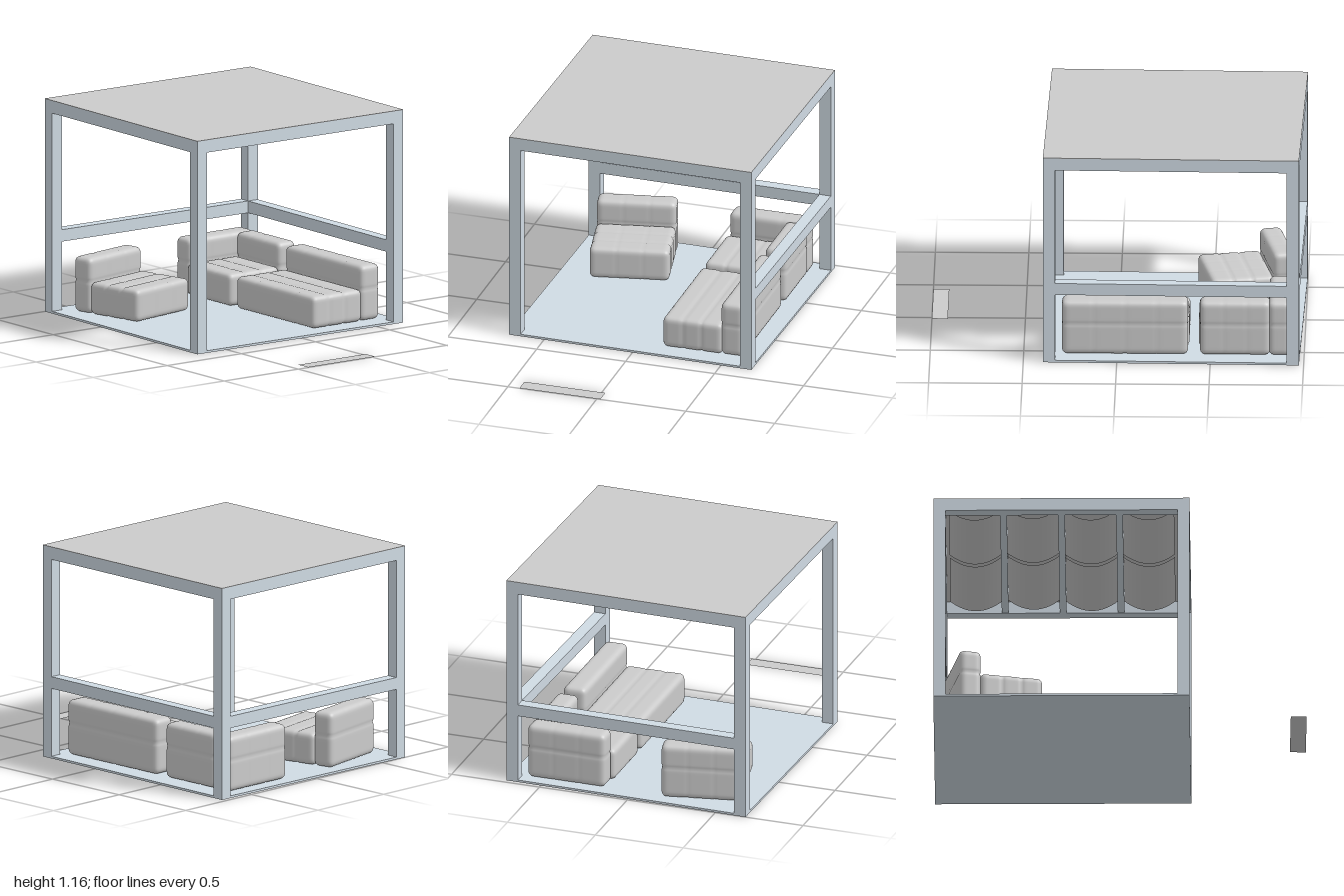
import * as THREE from 'three';
import { mergeVertices } from 'three/addons/utils/BufferGeometryUtils.js';

const grey = new THREE.MeshStandardMaterial({ color: 0xcccccc });
const thin = new THREE.MeshStandardMaterial({ color: 0xcccccc, side: THREE.DoubleSide });
const painted = new THREE.MeshStandardMaterial({ color: 0xd0dbe4 });

const SIZE = 1.37, POST = 0.065, TOP = 1.165;

// Box given by its min and max corners
function box(parent, name, [x0, y0, z0], [x1, y1, z1], material) {
  const mesh = new THREE.Mesh(new THREE.BoxGeometry(x1 - x0, y1 - y0, z1 - z0), material);
  mesh.position.set((x0 + x1) / 2, (y0 + y1) / 2, (z0 + z1) / 2);
  mesh.name = name;
  parent.add(mesh);
  return mesh;
}

// Soft rounded cushion; seams are grooves { axis, at, depth } around the body, at in -1..1
function cushion(parent, name, min, max, radius, seams) {
  const size = max.map((v, i) => v - min[i]);
  const half = size.map(v => v / 2);
  const segs = size.map(v => Math.min(44, Math.ceil(v / 0.012)));
  let geo = new THREE.BoxGeometry(...size, ...segs);
  geo.deleteAttribute('uv');
  geo.deleteAttribute('normal');
  geo = mergeVertices(geo, 1e-5);
  const pos = geo.attributes.position;
  const p = new THREE.Vector3(), inner = new THREE.Vector3(), dir = new THREE.Vector3();
  const limit = new THREE.Vector3(...half).subScalar(radius);
  const low = limit.clone().negate();
  for (let i = 0; i < pos.count; i++) {
    p.fromBufferAttribute(pos, i);
    inner.copy(p).clamp(low, limit);
    dir.copy(p).sub(inner).normalize();
    let inset = 0;
    for (const { axis, at, depth } of seams) {
      const d = (p.getComponent(axis) - at * half[axis]) / 0.008;
      inset += depth * Math.exp(-d * d) * (1 - Math.abs(dir.getComponent(axis)));
    }
    p.copy(inner).addScaledVector(dir, radius - Math.min(inset, 0.008));
    pos.setXYZ(i, p.x, p.y, p.z);
  }
  geo.computeVertexNormals();
  const mesh = new THREE.Mesh(geo, grey);
  mesh.position.set(...min.map((v, i) => v + half[i]));
  mesh.name = name;
  parent.add(mesh);
}

// Seat with two strong seams along the backrest and fainter cross seams
function seat(parent, min, max, axis, crossCount) {
  const seams = [-0.3, 0.32].map(at => ({ axis, at, depth: 0.005 }));
  for (let i = 1; i < crossCount; i++) {
    seams.push({ axis: 2 - axis, at: -1 + (2 * i) / crossCount, depth: 0.0015 });
  }
  cushion(parent, 'seatCushion', min, max, 0.028, seams);
}

// Upright cushion with one horizontal seam and faint vertical ones
function upright(parent, name, min, max, axis, count) {
  const seams = [{ axis: 1, at: 0.15, depth: 0.004 }];
  for (let i = 1; i < count; i++) {
    seams.push({ axis, at: -1 + (2 * i) / count, depth: 0.0015 });
  }
  cushion(parent, name, min, max, 0.03, seams);
}

function createPavilion() {
  const g = new THREE.Group();
  g.name = 'pavilion';
  const h = SIZE / 2, n = h - POST, under = TOP - 0.07;

  box(g, 'floor', [-h, 0, -h], [h, 0.012, h], painted);
  box(g, 'roofPanel', [-h, TOP - 0.003, -h], [h, TOP, h], grey);

  // Corner posts
  for (const x of [-1, 1]) for (const z of [-1, 1]) {
    const cx = x * (h - POST / 2), cz = z * (h - POST / 2), r = POST / 2;
    box(g, 'cornerPost', [cx - r, 0.012, cz - r], [cx + r, under, cz + r], painted);
  }

  // Upper frame
  const roofBase = TOP - 0.003;
  box(g, 'frontBeam', [-h, under, n], [h, roofBase, h], painted);
  box(g, 'backBeam', [-h, under, -h], [h, roofBase, -n], painted);
  box(g, 'sideBeam', [-h, under, -n], [-n, roofBase, n], painted);
  box(g, 'sideBeam', [n, under, -n], [h, roofBase, n], painted);

  // Guard rails on two sides
  box(g, 'backRail', [-n, 0.385, -h], [n, 0.45, -n], painted);
  box(g, 'sideRail', [-h, 0.385, -n], [-n, 0.45, n], painted);

  // Rafters, with sagging fabric hung between them
  const bay = (2 * n) / 4;
  for (let i = 1; i < 4; i++) {
    const x = -n + i * bay;
    box(g, 'rafter', [x - 0.018, under + 0.002, -n], [x + 0.018, roofBase, n], painted);
  }
  const lows = [1.086, 1.094, 1.085, 1.086];
  for (let i = 0; i < 4; i++) for (const z of [-0.292, 0.3]) {
    const w = bay - 0.036;
    const geo = new THREE.PlaneGeometry(w, 0.56, 20, 1).rotateX(Math.PI / 2);
    const pos = geo.attributes.position;
    for (let k = 0; k < pos.count; k++) {
      const t = pos.getX(k) / (w / 2);
      pos.setY(k, lows[i] + 0.055 * t * t);
    }
    geo.computeVertexNormals();
    const cloth = new THREE.Mesh(geo, thin);
    cloth.name = 'shadeCloth';
    cloth.position.set(-n + (i + 0.5) * bay, 0, z);
    g.add(cloth);
  }

  g.position.x = -0.302;
  g.rotation.y = -0.018;
  return g;
}

export function createModel() {
  const model = new THREE.Group();
  model.name = 'loungePavilion';
  model.add(createPavilion());

  const Y0 = 0.015, SEAT = 0.19, BACK = 0.317;

  // Long sofa at the back
  const sofa = new THREE.Group();
  sofa.name = 'longSofa';
  seat(sofa, [-0.385, Y0, -0.475], [0.297, SEAT, -0.14], 2, 4);
  upright(sofa, 'backrest', [-0.38, Y0, -0.595], [0.295, BACK, -0.465], 0, 4);
  model.add(sofa);

  // Corner sofa with back and side cushions
  const corner = new THREE.Group();
  corner.name = 'cornerSofa';
  seat(corner, [-0.815, Y0, -0.48], [-0.435, SEAT, -0.14], 2, 3);
  upright(corner, 'backrest', [-0.82, Y0, -0.597], [-0.443, BACK, -0.475], 0, 3);
  upright(corner, 'sideRest', [-0.93, Y0, -0.597], [-0.81, BACK, -0.155], 2, 3);
  model.add(corner);

  // Armchair, turned slightly
  const chair = new THREE.Group();
  chair.name = 'armchair';
  seat(chair, [-0.165, Y0, -0.215], [0.175, SEAT, 0.215], 0, 3);
  upright(chair, 'backrest', [-0.28, Y0, -0.215], [-0.16, BACK, 0.215], 2, 3);
  chair.position.set(-0.625, 0, 0.325);
  chair.rotation.y = 0.2;
  model.add(chair);

  // Flat strip lying beside the pavilion
  const strip = new THREE.Mesh(new THREE.PlaneGeometry(0.085, 0.455).rotateX(-Math.PI / 2), thin);
  strip.name = 'groundStrip';
  strip.position.set(0.9575, 0.001, 0.207);
  model.add(strip);

  return model;
}
